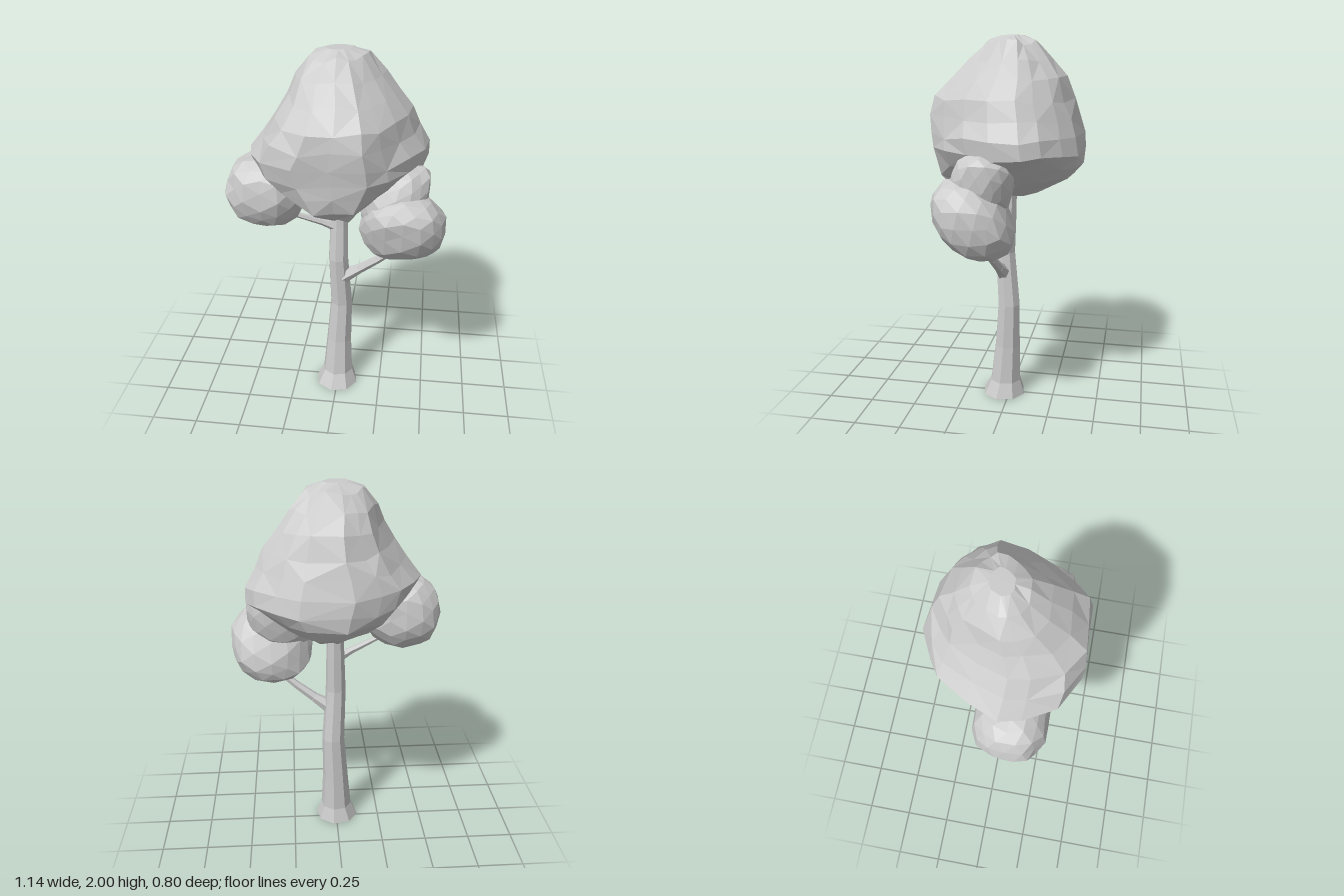
import * as THREE from 'three';

const foliage = new THREE.MeshStandardMaterial({ color: 0xcccccc, flatShading: true });
const bark = foliage.clone();

// Repeatable noise in -1..1 from a position
function noise(x, y, z, seed) {
  const s = Math.sin(x * 12.99 + y * 78.23 + z * 37.72 + seed * 4.13) * 437.58;
  return (s - Math.floor(s)) * 2 - 1;
}

function addMesh(parent, name, geometry, material) {
  const mesh = new THREE.Mesh(geometry, material);
  mesh.name = name;
  parent.add(mesh);
  return mesh;
}

// Skin a stack of rings (bottom to top, each turning from +x to +z), capped at both ends
function loft(rings) {
  const n = rings[0].length;
  const pos = rings.flat().flatMap((p) => [p.x, p.y, p.z]);
  const index = [];
  for (let j = 0; j < rings.length - 1; j++) {
    for (let i = 0; i < n; i++) {
      const a = j * n + i, b = j * n + (i + 1) % n, c = a + n, d = b + n;
      if ((i + j) % 2) index.push(a, c, b, b, c, d);
      else index.push(a, c, d, a, d, b);
    }
  }
  const cap = (ring, start, top) => {
    const mid = ring.reduce((s, p) => s.add(p), new THREE.Vector3()).divideScalar(n);
    const m = pos.length / 3;
    pos.push(mid.x, mid.y, mid.z);
    for (let i = 0; i < n; i++) {
      const a = start + i, b = start + (i + 1) % n;
      if (top) index.push(a, m, b);
      else index.push(a, b, m);
    }
  };
  cap(rings[0], 0, false);
  cap(rings[rings.length - 1], (rings.length - 1) * n, true);
  const g = new THREE.BufferGeometry();
  g.setAttribute('position', new THREE.Float32BufferAttribute(pos, 3));
  g.setIndex(index);
  g.computeVertexNormals();
  return g;
}

// Faceted leaf clump: a jittered, slightly boxy ball, stretched, with its top leaning
function clump(center, size, lean, seed) {
  const g = new THREE.IcosahedronGeometry(1, 2);
  const p = g.attributes.position;
  for (let i = 0; i < p.count; i++) {
    const [x, y, z] = [p.getX(i), p.getY(i), p.getZ(i)].map((v) => Math.round(v * 1000) / 1000 + 0);
    const [bx, by, bz] = [x, y, z].map((v) => Math.sign(v) * Math.abs(v) ** 0.87);
    const k = 1 + 0.045 * noise(x, y, z, seed);
    p.setXYZ(i,
      center[0] + size[0] * bx * k + lean[0] * y,
      center[1] + size[1] * by * k,
      center[2] + size[2] * bz * k + lean[1] * y);
  }
  g.computeVertexNormals();
  return g;
}

// Tapered branch made of straight pieces through [x, y, z, radius] points
function branch(parent, name, pts) {
  const group = new THREE.Group();
  group.name = name;
  for (let i = 0; i < pts.length - 1; i++) {
    const a = new THREE.Vector3(...pts[i]), b = new THREE.Vector3(...pts[i + 1]);
    const dir = b.clone().sub(a);
    const mesh = addMesh(group, name + 'Piece',
      new THREE.CylinderGeometry(pts[i + 1][3], pts[i][3], dir.length(), 6), bark);
    mesh.position.copy(a).add(b).multiplyScalar(0.5);
    mesh.quaternion.setFromUnitVectors(new THREE.Vector3(0, 1, 0), dir.normalize());
  }
  parent.add(group);
}

export function createModel() {
  const tree = new THREE.Group();
  tree.name = 'tree';

  // Trunk: octagon rings as y, centre x, centre z, radius
  const trunkRings = [
    [0, -0.005, 0.035, 0.122], [0.085, 0, 0.025, 0.088], [0.3, 0.005, 0.012, 0.073],
    [0.55, 0.017, 0.002, 0.063], [0.85, 0.002, 0.025, 0.056], [1.05, 0.004, 0.012, 0.05],
    [1.2, 0.006, 0.005, 0.046],
  ].map(([y, cx, cz, r]) => Array.from({ length: 8 }, (_, i) => {
    const t = (i + 0.25) / 8 * Math.PI * 2;
    return new THREE.Vector3(cx + r * Math.cos(t), y, cz + r * Math.sin(t));
  }));
  addMesh(tree, 'trunk', loft(trunkRings), bark);

  // Branches
  branch(tree, 'leftBranch', [
    [0.03, 0.735, 0.03, 0.042], [0.12, 0.795, 0.04, 0.027], [0.22, 0.87, 0.055, 0.022], [0.36, 0.99, 0.08, 0.015],
  ]);
  branch(tree, 'rightBranch', [
    [0, 1.04, 0.02, 0.032], [-0.08, 1.075, 0.04, 0.02], [-0.25, 1.14, 0.08, 0.013],
  ]);

  // Main crown: plan outline (x, z) fitted into x and z limits at each height
  const outline = [
    [0.48, -0.13], [0.45, 0.02], [0.38, 0.16], [0.28, 0.29], [0.18, 0.38], [0, 0.39], [-0.18, 0.4],
    [-0.35, 0.31], [-0.43, 0.15], [-0.45, 0.04], [-0.38, -0.12], [-0.3, -0.28], [-0.2, -0.34],
    [-0.06, -0.4], [0.2, -0.37], [0.32, -0.31], [0.43, -0.22],
  ];
  const crownRings = [
    // y, xMin, xMax, zMin, zMax
    [1.18, -0.05, 0.13, -0.1, 0.2],
    [1.22, -0.12, 0.18, -0.18, 0.29],
    [1.29, -0.22, 0.27, -0.34, 0.365],
    [1.36, -0.32, 0.37, -0.385, 0.38],
    [1.43, -0.41, 0.455, -0.4, 0.385],
    [1.51, -0.445, 0.46, -0.39, 0.395],
    [1.6, -0.37, 0.4, -0.365, 0.4],
    [1.69, -0.3, 0.36, -0.33, 0.385],
    [1.79, -0.24, 0.295, -0.29, 0.3],
    [1.885, -0.205, 0.225, -0.22, 0.2],
    [1.965, -0.14, 0.15, -0.15, 0.11],
    [2.0, -0.06, 0.07, -0.07, 0.04],
  ].map(([y, x0, x1, z0, z1], j, all) => outline.map(([x, z], i) => {
    const k = 1.008 + 0.02 * noise(i, j, 0, 3);
    const dy = j === all.length - 1 ? 0 : 0.015 * noise(i, j, 5, 7);
    return new THREE.Vector3(
      (x0 + x1) / 2 + (x - 0.015) / 0.465 * (x1 - x0) / 2 * k,
      y + dy,
      (z0 + z1) / 2 + z / 0.4 * (z1 - z0) / 2 * k);
  }));
  addMesh(tree, 'crown', loft(crownRings), foliage);

  // Side clumps and the shoulder joining the left one to the crown
  addMesh(tree, 'rightClump', clump([-0.362, 1.285, 0.095], [0.213, 0.195, 0.188], [0, 0], 1), foliage);
  addMesh(tree, 'leftClump', clump([0.35, 1.115, 0.118], [0.222, 0.202, 0.19], [0.01, 0.07], 2), foliage);
  addMesh(tree, 'leftShoulder', clump([0.3, 1.27, 0.085], [0.175, 0.18, 0.16], [0.05, -0.02], 5), foliage);

  return tree;
}
